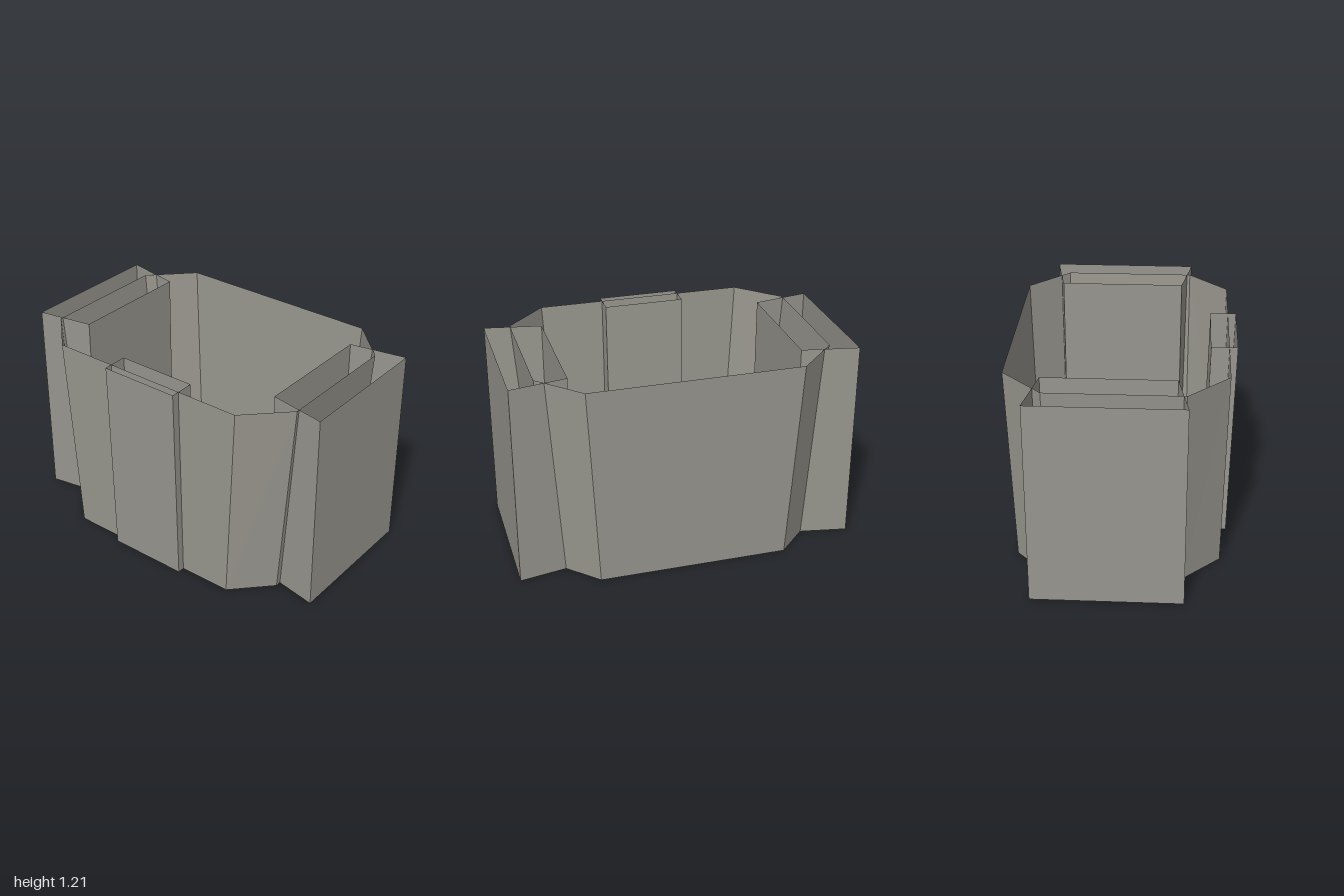
import * as THREE from 'three';

const HEIGHT = 1.21;

// Open-ended sleeve of flat panels between a bottom and a top outline,
// each a list of [x, z] corners running counter-clockwise seen from above.
function sleeve(name, bottom, top, material) {
  const positions = [];
  const n = bottom.length;
  for (let i = 0; i < n; i++) {
    const j = (i + 1) % n;
    const a = [bottom[i][0], 0, bottom[i][1]];
    const b = [bottom[j][0], 0, bottom[j][1]];
    const c = [top[j][0], HEIGHT, top[j][1]];
    const d = [top[i][0], HEIGHT, top[i][1]];
    positions.push(...a, ...b, ...c, ...a, ...c, ...d);
  }
  const geometry = new THREE.BufferGeometry();
  geometry.setAttribute('position', new THREE.Float32BufferAttribute(positions, 3));
  geometry.computeVertexNormals();
  const mesh = new THREE.Mesh(geometry, material);
  mesh.name = name;
  return mesh;
}

// Octagon with cut corners: side half-width, end half-width, front and back z
const octagon = (side, end, front, back) => [
  [-end, front], [end, front], [side, 0.36], [side, -0.405],
  [end, back], [-end, back], [-side, -0.405], [-side, 0.36],
];

// Rectangle across the front
const frontOutline = (front, back) => [
  [-0.24, front], [0.24, front], [0.24, back], [-0.24, back],
];

export function createModel() {
  const group = new THREE.Group();
  const grey = new THREE.MeshStandardMaterial({ color: 0x98968e, side: THREE.DoubleSide });
  grey.name = 'warm grey';

  // Main flared shell, open at top and bottom
  group.add(sleeve('shell',
    octagon(0.76, 0.555, 0.57, -0.607),
    octagon(0.85, 0.618, 0.59, -0.637), grey));

  // Leaning sleeve through the front wall
  group.add(sleeve('frontSleeve',
    frontOutline(0.612, 0.462), frontOutline(0.637, 0.487), grey));

  // Upright side sleeves, narrowing towards the inside
  for (const [name, s] of [['leftSleeve', 1], ['rightSleeve', -1]]) {
    const outline = [[0.67, 0.31], [1, 0.37], [1, -0.49], [0.67, -0.43]]
      .map(([x, z]) => [s * x, z]);
    if (s < 0) outline.reverse();
    group.add(sleeve(name, outline, outline, grey));
  }
  return group;
}
